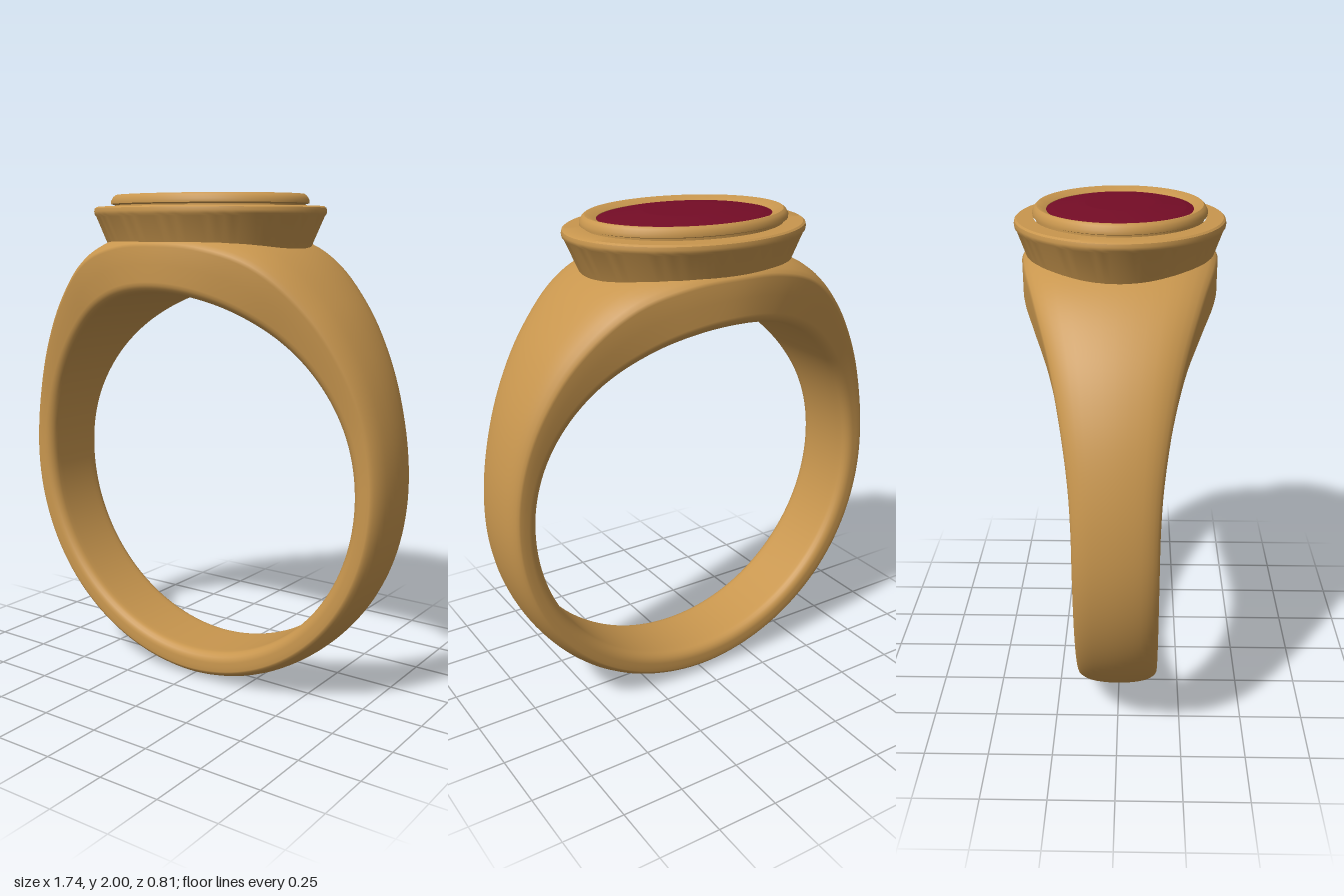
import * as THREE from 'three';
import { toCreasedNormals } from 'three/addons/utils/BufferGeometryUtils.js';

const CENTRE_Y = 0.875;
const INNER_R = 0.752;

// Elevation angle in degrees -> half width and outer radius of the band
const ANGLES = [-90, -45, 0, 10, 21, 35, 49, 65, 78, 90, 102];
const SIZES = [
  0.155, 0.875, 0.155, 0.871, 0.155, 0.87, 0.157, 0.876, 0.167, 0.891, 0.196, 0.924,
  0.24, 0.967, 0.309, 1.011, 0.357, 1.01, 0.376, 1.003, 0.357, 1.01,
];

// Half cross-section, from the crest of the outside to the middle of the inside
function halfSection(w, ro, e) {
  const crown = [[0, 0], [0.2, 0.02], [0.4, 0.08], [0.58, 0.17], [0.72, 0.29], [0.84, 0.46], [0.93, 0.66], [0.98, 0.84], [1, 1]];
  const pts = crown.map(([z, d]) => [ro - e * d, z * w]);
  const wall = INNER_R + 0.04;
  pts.push([(ro - e + wall) / 2, w]);
  for (let k = 0; k <= 5; k++) {
    const a = (k / 5) * Math.PI / 2;
    pts.push([wall - 0.04 * Math.sin(a), w - 0.04 * (1 - Math.cos(a))]);
  }
  pts.push([INNER_R, w * 0.6], [INNER_R, w * 0.3], [INNER_R, 0]);
  return pts;
}

// Band swept round the finger, widening and thickening into the shoulders
function bandGeometry() {
  const sizes = new THREE.CubicInterpolant(ANGLES, SIZES, 2, new Float32Array(2));
  const steps = 160, positions = [], indices = [];
  let n = 0;
  for (let i = 0; i < steps; i++) {
    const deg = -90 + (360 * i) / steps;
    const elevation = 90 - Math.abs(deg - 90);
    const [w, ro] = sizes.evaluate(elevation);
    const e = 0.045 + 0.035 * THREE.MathUtils.smoothstep(elevation, 0, 80);
    const half = halfSection(w, ro, e);
    const mirrored = half.slice(1, -1).reverse().map(([r, z]) => [r, -z]);
    const loop = [...half, ...mirrored];
    n = loop.length;
    const t = THREE.MathUtils.degToRad(deg);
    for (const [r, z] of loop) positions.push(r * Math.cos(t), CENTRE_Y + r * Math.sin(t), z);
  }
  for (let i = 0; i < steps; i++) {
    for (let j = 0; j < n; j++) {
      const i2 = (i + 1) % steps, j2 = (j + 1) % n;
      const a = i * n + j, b = i2 * n + j, c = i2 * n + j2, d = i * n + j2;
      indices.push(a, b, c, a, c, d);
    }
  }
  const g = new THREE.BufferGeometry();
  g.setAttribute('position', new THREE.Float32BufferAttribute(positions, 3));
  g.setIndex(indices);
  g.computeVertexNormals();
  return g;
}

// Oval turned part: profile of [x, y] points, narrowed along z
function oval(profile, ratio, crease = 0.6) {
  const g = new THREE.LatheGeometry(profile.map(([x, y]) => new THREE.Vector2(x, y)), 96);
  g.scale(1, 1, ratio);
  return toCreasedNormals(g, crease);
}

export function createModel() {
  const gold = new THREE.MeshStandardMaterial({ color: 0xc8964e });
  gold.name = 'gold';
  const red = new THREE.MeshStandardMaterial({ color: 0x740c26 });
  red.name = 'deep red';

  const ring = new THREE.Group();
  ring.name = 'signetRing';
  const add = (name, geometry, material) => {
    const mesh = new THREE.Mesh(geometry, material);
    mesh.name = name;
    ring.add(mesh);
  };

  add('band', bandGeometry(), gold);

  // Flared cup with a rounded lip
  add('bezelCup', oval([
    [0.40, 1.73], [0.428, 1.79], [0.482, 1.912], [0.489, 1.92], [0.491, 1.932],
    [0.488, 1.944], [0.479, 1.95], [0.40, 1.95],
  ], 0.824), gold);

  // Raised collar with a small step, sloping in towards the stone
  add('collar', oval([
    [0.405, 1.94], [0.405, 1.957], [0.422, 1.962], [0.422, 1.975], [0.412, 1.99], [0.402, 1.997],
    [0.395, 1.997], [0.356, 1.98], [0.35, 1.95],
  ], 0.79), gold);

  // Oval stone with a low crown and flat table
  add('stone', oval([
    [0.358, 1.955], [0.358, 1.978], [0.32, 1.986], [0.2, 1.998], [0.17, 2.0], [0, 2.0],
  ], 0.79, 0.04), red);

  return ring;
}
